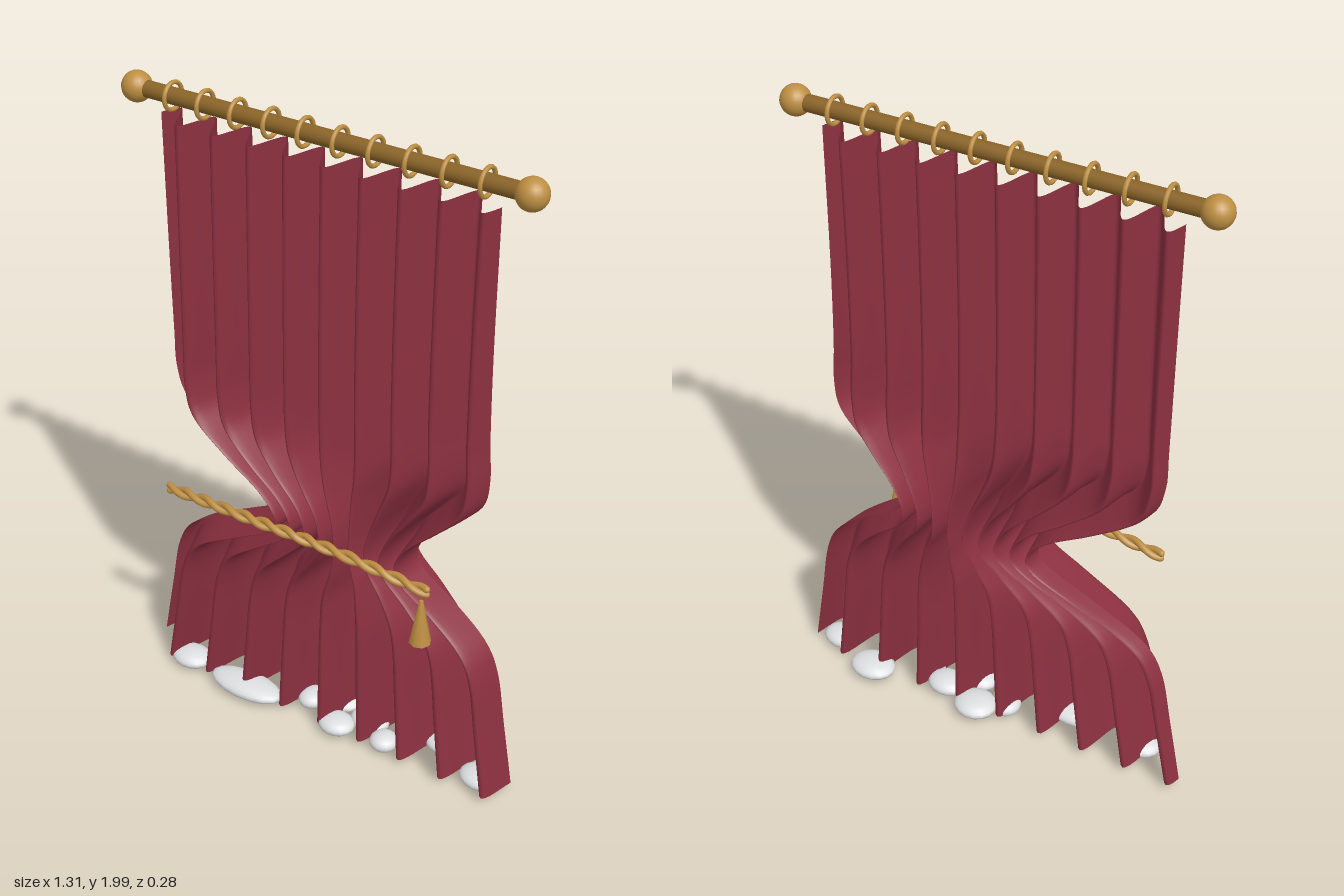
import * as THREE from 'three';

const FOLDS = 9;
const RINGS = 10;

// Pleated cloth: rows of a leaning wave, squeezed between a left and a right outline
function clothGeometry() {
  // left edge x, height, right edge x
  const outline = [
    [-0.53, 1.9, 0.53], [-0.532, 1.5, 0.528], [-0.535, 1.22, 0.53], [-0.535, 1.09, 0.535],
    [-0.5, 0.99, 0.515], [-0.37, 0.9, 0.43], [-0.23, 0.82, 0.345], [-0.165, 0.75, 0.305],
    [-0.19, 0.69, 0.325], [-0.33, 0.62, 0.43], [-0.5, 0.53, 0.54], [-0.57, 0.43, 0.59],
    [-0.61, 0.25, 0.62], [-0.655, 0.03, 0.655],
  ];
  // centre z, fold depth at the same heights
  const depth = [
    [0, 0.055], [0, 0.057], [-0.003, 0.06], [-0.005, 0.063],
    [-0.007, 0.068], [-0.01, 0.075], [-0.014, 0.081], [-0.016, 0.085],
    [-0.016, 0.084], [-0.012, 0.08], [-0.008, 0.076], [-0.006, 0.075],
    [-0.005, 0.075], [-0.005, 0.075],
  ];
  const edge = new THREE.CatmullRomCurve3(outline.map(p => new THREE.Vector3(...p)), false, 'catmullrom');
  const fold = new THREE.CatmullRomCurve3(depth.map(p => new THREE.Vector3(p[0], p[1], 0)), false, 'catmullrom');
  const cols = FOLDS * 18, rows = 65;
  const geo = new THREE.PlaneGeometry(1, 1, cols, rows);
  const pos = geo.attributes.position;
  for (let j = 0; j <= rows; j++) {
    const e = edge.getPoint(j / rows), f = fold.getPoint(j / rows);
    // the folds drift sideways a little on the way down
    const drift = 0.2 * (1.9 - e.y);
    for (let i = 0; i <= cols; i++) {
      const u = i / cols;
      const a = u * FOLDS * Math.PI * 2 + drift;
      const z = f.x - f.y * 0.98 * (Math.sin(a) + 0.12 * Math.sin(2 * a));
      pos.setXYZ(j * (cols + 1) + i, THREE.MathUtils.lerp(e.x, e.z, u), e.y, z);
    }
  }
  geo.computeVertexNormals();
  return geo;
}

// One strand wound around the tie-back's path
function strandGeometry(phase) {
  const path = new THREE.CatmullRomCurve3([
    new THREE.Vector3(-0.485, 0.74, 0.105), new THREE.Vector3(-0.18, 0.76, 0.122),
    new THREE.Vector3(0.1, 0.75, 0.105), new THREE.Vector3(0.41, 0.72, 0.085),
  ]);
  const points = [];
  for (let i = 0; i <= 100; i++) {
    const p = path.getPoint(i / 100), a = phase + (i / 100) * Math.PI * 12;
    points.push(new THREE.Vector3(p.x, p.y + 0.009 * Math.cos(a), p.z + 0.009 * Math.sin(a)));
  }
  return new THREE.TubeGeometry(new THREE.CatmullRomCurve3(points), 160, 0.0105, 8);
}

export function createModel() {
  const model = new THREE.Group();
  const material = (name, color, side = THREE.FrontSide) => {
    const m = new THREE.MeshStandardMaterial({ color, side });
    m.name = name;
    return m;
  };
  const red = material('wine cloth', 0x8c3040, THREE.DoubleSide);
  const wood = material('dark brass', 0x8a6428);
  const gold = material('gold', 0xbe8f42);
  const white = material('white', 0xdcdee0);

  const add = (name, geo, mat, x = 0, y = 0, z = 0, parent = model) => {
    const mesh = new THREE.Mesh(geo, mat);
    mesh.name = name;
    mesh.position.set(x, y, z);
    parent.add(mesh);
    return mesh;
  };

  // Rod with ball ends
  add('rod', new THREE.CylinderGeometry(0.024, 0.024, 1.22, 20), wood, 0, 1.956, 0).rotation.z = Math.PI / 2;
  const ball = new THREE.SphereGeometry(0.044, 20, 14);
  for (const s of [-1, 1]) add('rodEnd', ball, gold, s * 0.61, 1.956, 0);

  // Rings along the rod
  const ringGeo = new THREE.TorusGeometry(0.038, 0.0065, 8, 24);
  for (let i = 0; i < RINGS; i++) {
    add('ring', ringGeo, gold, -0.486 + i * 0.108, 1.956, 0).rotation.y = Math.PI / 2;
  }

  add('curtain', clothGeometry(), red);

  // Twisted tie-back with a tassel
  const tie = new THREE.Group();
  tie.name = 'tieBack';
  model.add(tie);
  for (const phase of [0, Math.PI]) {
    const strand = strandGeometry(phase);
    add('strand', strand, gold, 0, 0, 0, tie);
    // round caps at both ends
    const { points } = strand.parameters.path;
    for (const p of [points[0], points[points.length - 1]]) {
      add('strandEnd', new THREE.SphereGeometry(0.0105, 8, 6), gold, p.x, p.y, p.z, tie);
    }
  }
  add('tassel', new THREE.CylinderGeometry(0.006, 0.033, 0.145, 8), gold, 0.402, 0.621, 0.098, tie);

  // Flat white puffs along the hem: x, z, radius x, radius z
  const puffs = [
    [-0.49, 0.035, 0.068, 0.055], [-0.255, 0.055, 0.132, 0.06], [-0.05, -0.02, 0.045, 0.05],
    [0.035, -0.07, 0.07, 0.064], [0.08, 0.04, 0.06, 0.052], [0.16, -0.03, 0.065, 0.055],
    [0.245, 0.025, 0.045, 0.045], [0.41, -0.08, 0.076, 0.062], [0.57, -0.005, 0.068, 0.055],
  ];
  const puffGeo = new THREE.SphereGeometry(1, 16, 10);
  puffs.forEach(([x, z, rx, rz], i) => {
    add('hemPuff', puffGeo, white, x, 0.034 + 0.004 * (i % 2), z).scale.set(rx, 0.028, rz);
  });

  return model;
}
